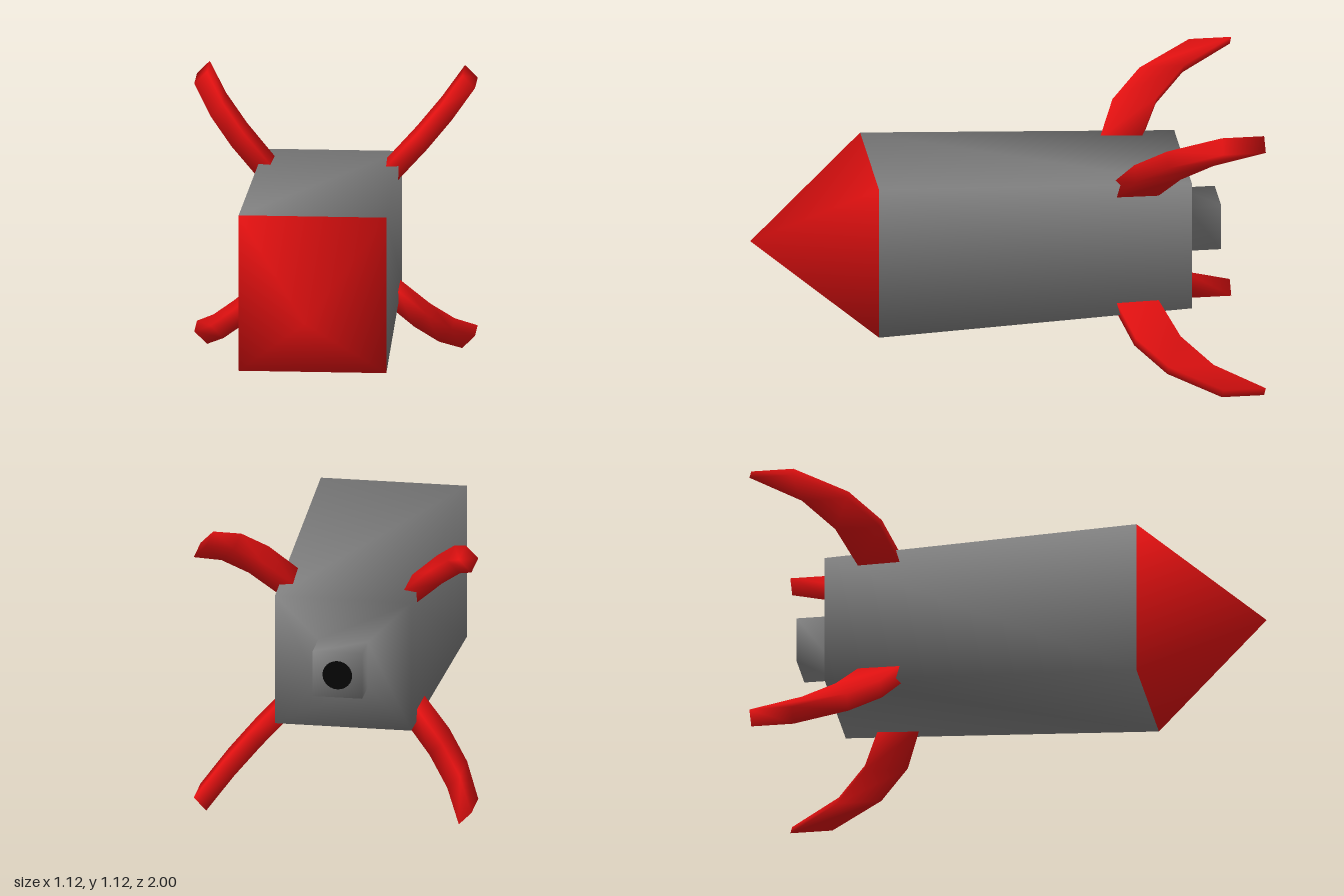
import * as THREE from 'three';
import { mergeVertices } from 'three/addons/utils/BufferGeometryUtils.js';

const red = new THREE.MeshStandardMaterial({ color: 0xe01010 });
red.name = 'red paint';
const grey = new THREE.MeshStandardMaterial({ color: 0x808080 });
grey.name = 'grey metal';
const black = new THREE.MeshStandardMaterial({ color: 0x050505 });
black.name = 'black opening';

const CENTRE_Y = 0.57;

// Smooth skin over a row of four-cornered rings, closed at both ends
function loft(rings) {
  const index = [];
  for (let r = 0; r < rings.length - 1; r++) {
    for (let i = 0; i < 4; i++) {
      const j = (i + 1) % 4;
      const a = r * 4, b = a + 4;
      index.push(a + i, b + i, a + j, a + j, b + i, b + j);
    }
  }
  const e = (rings.length - 1) * 4;
  index.push(e, e + 2, e + 1, e, e + 3, e + 2);
  index.push(0, 1, 2, 0, 2, 3);
  const geometry = new THREE.BufferGeometry();
  geometry.setAttribute('position', new THREE.Float32BufferAttribute(rings.flat(2), 3));
  geometry.setIndex(index);
  const merged = mergeVertices(geometry);
  merged.computeVertexNormals();
  return merged;
}

// Rectangle across the hull at depth z
const rect = (w, h, z) => [[w, h, z], [-w, h, z], [-w, -h, z], [w, -h, z]];

export function createModel() {
  const model = new THREE.Group();
  model.name = 'rocket';
  const body = new THREE.Group();
  body.name = 'rocketBody';
  body.position.y = CENTRE_Y;
  model.add(body);

  // Hull: pointed nose, tapering body, inset nozzle
  const hullGeometry = loft([
    rect(0, 0, 1),
    rect(0.295, 0.32, 0.52),
    rect(0.275, 0.27, -0.74),
    rect(0.1, 0.095, -0.74),
    rect(0.1, 0.095, -0.88),
  ]);
  hullGeometry.addGroup(0, 24, 0);
  hullGeometry.addGroup(24, hullGeometry.index.count - 24, 1);
  const hull = new THREE.Mesh(hullGeometry, [red, grey]);
  hull.name = 'hull';
  body.add(hull);

  // Dark opening at the nozzle end
  const opening = new THREE.Mesh(new THREE.CircleGeometry(0.06, 24), black);
  opening.name = 'nozzleOpening';
  opening.rotation.y = Math.PI;
  opening.position.z = -0.883;
  body.add(opening);

  // Swept fins on the four corners: [radius, front z, back z]
  const t = 0.036;
  const finGeometry = loft([
    [0.354, -0.435, -0.605],
    [0.516, -0.5, -0.68],
    [0.645, -0.62, -0.8],
    [0.757, -0.83, -1],
  ].map(([r, front, back]) => [[r, t, front], [r, t, back], [r, -t, back], [r, -t, front]]));
  for (let i = 0; i < 4; i++) {
    const fin = new THREE.Mesh(finGeometry, red);
    fin.name = 'fin' + (i + 1);
    fin.rotation.z = Math.PI / 4 + (i * Math.PI) / 2;
    body.add(fin);
  }
  return model;
}
